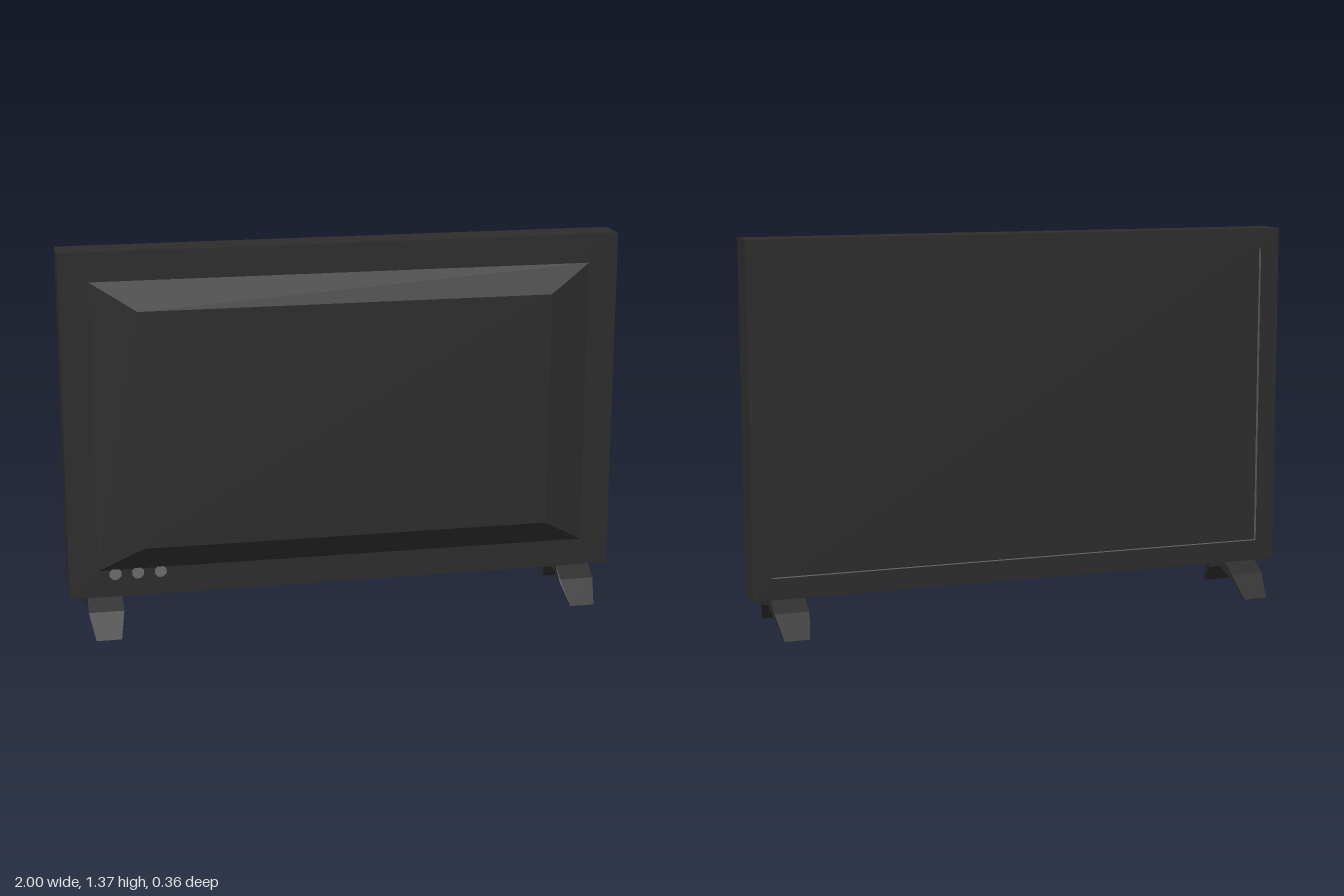
import * as THREE from 'three';

export function createModel() {
  const casing = new THREE.MeshStandardMaterial({ color: 0x2d2d2d });
  const trim = new THREE.MeshStandardMaterial({ color: 0x606060 });
  const socket = new THREE.MeshStandardMaterial({ color: 0x6c6c6c });

  const model = new THREE.Group();
  model.name = 'television';
  const add = (name, geometry, material, x = 0, y = 0, z = 0) => {
    const mesh = new THREE.Mesh(geometry, material);
    mesh.name = name;
    mesh.position.set(x, y, z);
    model.add(mesh);
    return mesh;
  };

  const midY = 0.745, depth = 0.13, recess = 0.015;
  const outerW = 2, outerH = 1.25, screenW = 1.86, screenH = 1.1;

  // Slab whose -z face is the sunken screen
  add('cabinet', new THREE.BoxGeometry(outerW, outerH, depth - recess), casing, 0, midY, recess / 2);

  // Raised bezel around the screen
  const rect = (w, h, Type) => new Type([
    new THREE.Vector2(-w / 2, -h / 2), new THREE.Vector2(w / 2, -h / 2),
    new THREE.Vector2(w / 2, h / 2), new THREE.Vector2(-w / 2, h / 2),
  ]);
  const bezel = rect(outerW, outerH, THREE.Shape);
  bezel.holes.push(rect(screenW, screenH, THREE.Path));
  add('bezel', new THREE.ExtrudeGeometry(bezel, { depth: recess, bevelEnabled: false }), casing, 0, midY, -depth / 2);

  // Lighter lining on the four inner walls of the bezel
  const liningZ = -depth / 2 + recess / 2;
  for (const s of [-1, 1]) {
    const side = add('screenLiningSide', new THREE.PlaneGeometry(recess, screenH), trim,
      s * (screenW / 2 - 0.001), midY, liningZ);
    side.rotation.y = -s * Math.PI / 2;
    const edge = add('screenLiningEdge', new THREE.PlaneGeometry(screenW, recess), trim,
      0, midY + s * (screenH / 2 - 0.001), liningZ);
    edge.rotation.x = s * Math.PI / 2;
  }

  // Tapered housing: a box with its outer face shrunk
  const housing = new THREE.BoxGeometry(1.79, 1.045, 0.068);
  const hp = housing.attributes.position;
  for (let i = 0; i < hp.count; i++) {
    if (hp.getZ(i) > 0) hp.setXY(i, Math.sign(hp.getX(i)) * 0.737, Math.sign(hp.getY(i)) * 0.427);
  }
  housing.computeVertexNormals();
  add('rearHousing', housing, casing, 0, 0.743, 0.099);

  // Row of three small sockets
  for (let i = 0; i < 3; i++) {
    const disc = new THREE.CircleGeometry(0.023, 8, Math.PI / 8);
    add('socket', disc, socket, -0.835 + i * 0.081, 0.205, depth / 2 + 0.002);
  }

  // Arched feet, narrower at the tips
  const half = [[0.18, 0], [0.108, 0.08], [0.037, 0.12]];
  const under = [[0.157, 0], [0.097, 0.065]];
  const mirror = (pts) => pts.map(([z, y]) => [-z, y]).reverse();
  const outline = [...half, ...mirror(half), ...mirror(under).reverse(), [0, 0.09], ...[...under].reverse()];
  const footShape = new THREE.Shape(outline.map(([z, y]) => new THREE.Vector2(z, y)));
  const foot = new THREE.ExtrudeGeometry(footShape, { depth: 0.124, bevelEnabled: false });
  foot.translate(0, 0, -0.062).rotateY(-Math.PI / 2);
  const fp = foot.attributes.position;
  for (let i = 0; i < fp.count; i++) {
    if (fp.getY(i) < 0.01) fp.setX(i, fp.getX(i) * 0.72);
  }
  foot.computeVertexNormals();
  add('leftFoot', foot, casing, 0.873);
  add('rightFoot', foot, casing, -0.873);

  return model;
}
